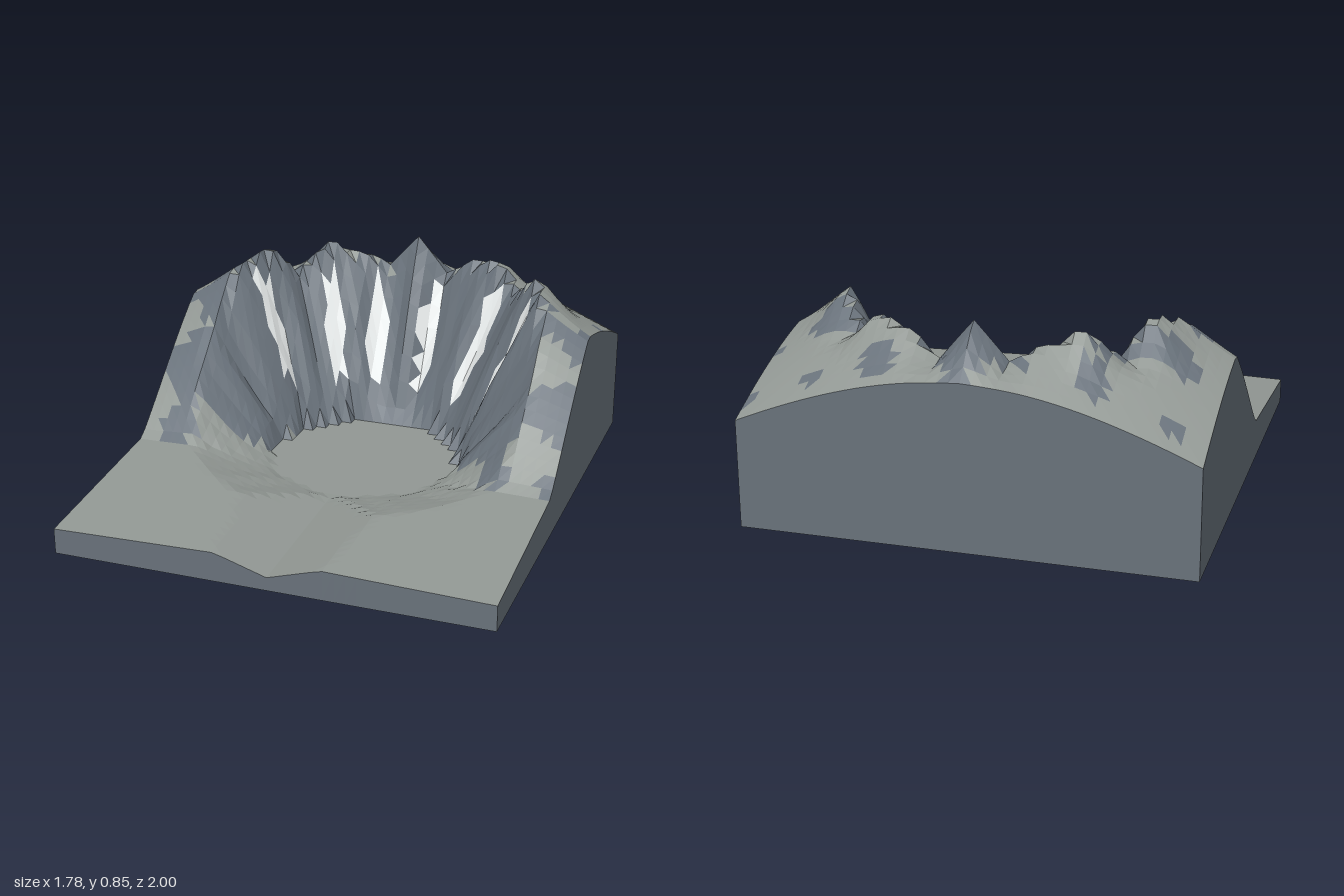
import * as THREE from 'three';

const HALF_X = 0.89, HALF_Z = 1, NX = 40, NZ = 45;
const CZ = -0.1, LAKE_R = 0.41, RIM_R = 0.72, LAKE_Y = 0.075;

// Crest offsets: [degrees from the back, height added to the rim]
const crest = [[-100, 0], [-80, 0], [-66, 0.02], [-54, 0.07], [-44, -0.07], [-32, 0.06], [-23, 0], [-16, -0.01],
  [-10.5, -0.06], [0, 0.08], [10.5, -0.07], [16, -0.02], [22, 0.02], [35, 0.05], [44, -0.05], [58, 0.07], [74, 0], [100, 0]];
// Directions of the snow gullies, in degrees from the back
const gullies = [-62, -33, -14, 10, 38, 65];

const { clamp, lerp, smoothstep } = THREE.MathUtils;
const polar = (x, z) => [Math.hypot(x, z - CZ), Math.atan2(x, CZ - z)];

function crestOffset(angle) {
  const a = THREE.MathUtils.radToDeg(angle);
  for (let i = 1; i < crest.length; i++) {
    const [a0, h0] = crest[i - 1], [a1, h1] = crest[i];
    if (a >= a0 && a <= a1) return lerp(h0, h1, (a - a0) / (a1 - a0));
  }
  return 0;
}

// Ground outside the bowl: a low foreland rising to a mountain that falls away behind
function outerHeight(x, z) {
  const [r, a] = polar(x, z);
  const front = 0.195 - 0.068 * clamp((z - 0.22) / 0.78, 0, 1) - 0.022 * Math.abs(x) / HALF_X;
  const rise = clamp((0.23 - z) / 0.58, 0, 1);
  const mountain = 0.66 - 0.62 * (r - 0.9);
  const bump = crestOffset(a) * (1 - smoothstep(r, RIM_R + 0.02, 0.92));
  return front + rise * (mountain + bump - front);
}

function height(x, z) {
  const [r, a] = polar(x, z);
  if (r < LAKE_R) return LAKE_Y;
  let h = outerHeight(x, z);
  if (r < RIM_R) {
    // Bowl wall, ribbed between the lake and the rim
    const t = (r - LAKE_R) / (RIM_R - LAKE_R);
    const rim = outerHeight(RIM_R * Math.sin(a), CZ - RIM_R * Math.cos(a));
    const rib = 0.09 * t * (1 - t) * (Math.sin(a * 15 + 1) + 0.6 * Math.sin(a * 27));
    h = lerp(LAKE_Y, rim, clamp(0.08 + 0.92 * t + rib * 2, 0, 1));
  }
  // Outlet channel cut as a V
  if (z > 0.2) h = Math.min(h, lerp(0.078, 0.055, clamp((z - 0.3) / 0.7, 0, 1)) + Math.abs(x) * 0.31);
  return h;
}

// Chooses the surface for one triangle
function surfaceOf(a, b, c) {
  const mid = new THREE.Vector3().add(a).add(b).add(c).divideScalar(3);
  const normal = new THREE.Triangle(a, b, c).getNormal(new THREE.Vector3());
  const [r, angle] = polar(mid.x, mid.z);
  if (Math.max(a.y, b.y, c.y) <= LAKE_Y && r < LAKE_R) return 'lake';
  const deg = THREE.MathUtils.radToDeg(angle);
  const along = Math.abs(r - 0.575) / 0.1;
  if (along < 1 && gullies.some(g => Math.abs(deg - g) < 4.2 - 1.6 * along)) return 'snowGullies';
  const patch = 0.06 * Math.sin(mid.x * 23) + 0.08 * Math.cos(mid.z * 22 + 1);
  return normal.y < 0.74 + patch && mid.z < 0.23 ? 'rockFaces' : 'grassSlopes';
}

export function createModel() {
  const group = new THREE.Group();
  const colors = { grassSlopes: 0x929894, lake: 0x929894, rockFaces: 0x69727b, snowGullies: 0xe8ecec, baseBlock: 0x69727b };
  const points = Object.fromEntries(Object.keys(colors).map(k => [k, []]));
  const tri = (name, a, b, c) => points[name].push(a, b, c);

  const vertex = (i, j) => {
    const x = lerp(-HALF_X, HALF_X, i / NX), z = lerp(-HALF_Z, HALF_Z, j / NZ);
    return new THREE.Vector3(x, height(x, z), z);
  };
  const grid = Array.from({ length: NX + 1 }, (_, i) => Array.from({ length: NZ + 1 }, (_, j) => vertex(i, j)));

  // Terrain surface
  for (let i = 0; i < NX; i++) {
    for (let j = 0; j < NZ; j++) {
      const a = grid[i][j], b = grid[i][j + 1], c = grid[i + 1][j + 1], d = grid[i + 1][j];
      const halves = i < NX / 2 ? [[a, b, c], [a, c, d]] : [[a, b, d], [b, c, d]];
      for (const t of halves) tri(surfaceOf(...t), ...t);
    }
  }

  // Cut sides and underside of the block
  const ground = p => new THREE.Vector3(p.x, 0, p.z);
  const wall = (p, q) => {
    tri('baseBlock', ground(p), ground(q), q);
    tri('baseBlock', ground(p), q, p);
  };
  for (let i = 0; i < NX; i++) {
    wall(grid[i][NZ], grid[i + 1][NZ]);
    wall(grid[i + 1][0], grid[i][0]);
  }
  for (let j = 0; j < NZ; j++) {
    wall(grid[NX][j + 1], grid[NX][j]);
    wall(grid[0][j], grid[0][j + 1]);
  }
  const [p, q, r, s] = [grid[0][0], grid[NX][0], grid[NX][NZ], grid[0][NZ]].map(ground);
  tri('baseBlock', p, q, r);
  tri('baseBlock', p, r, s);

  for (const [name, color] of Object.entries(colors)) {
    const geometry = new THREE.BufferGeometry().setFromPoints(points[name]);
    geometry.computeVertexNormals();
    const mesh = new THREE.Mesh(geometry, new THREE.MeshStandardMaterial({ color, flatShading: true }));
    mesh.name = name;
    group.add(mesh);
  }
  return group;
}
